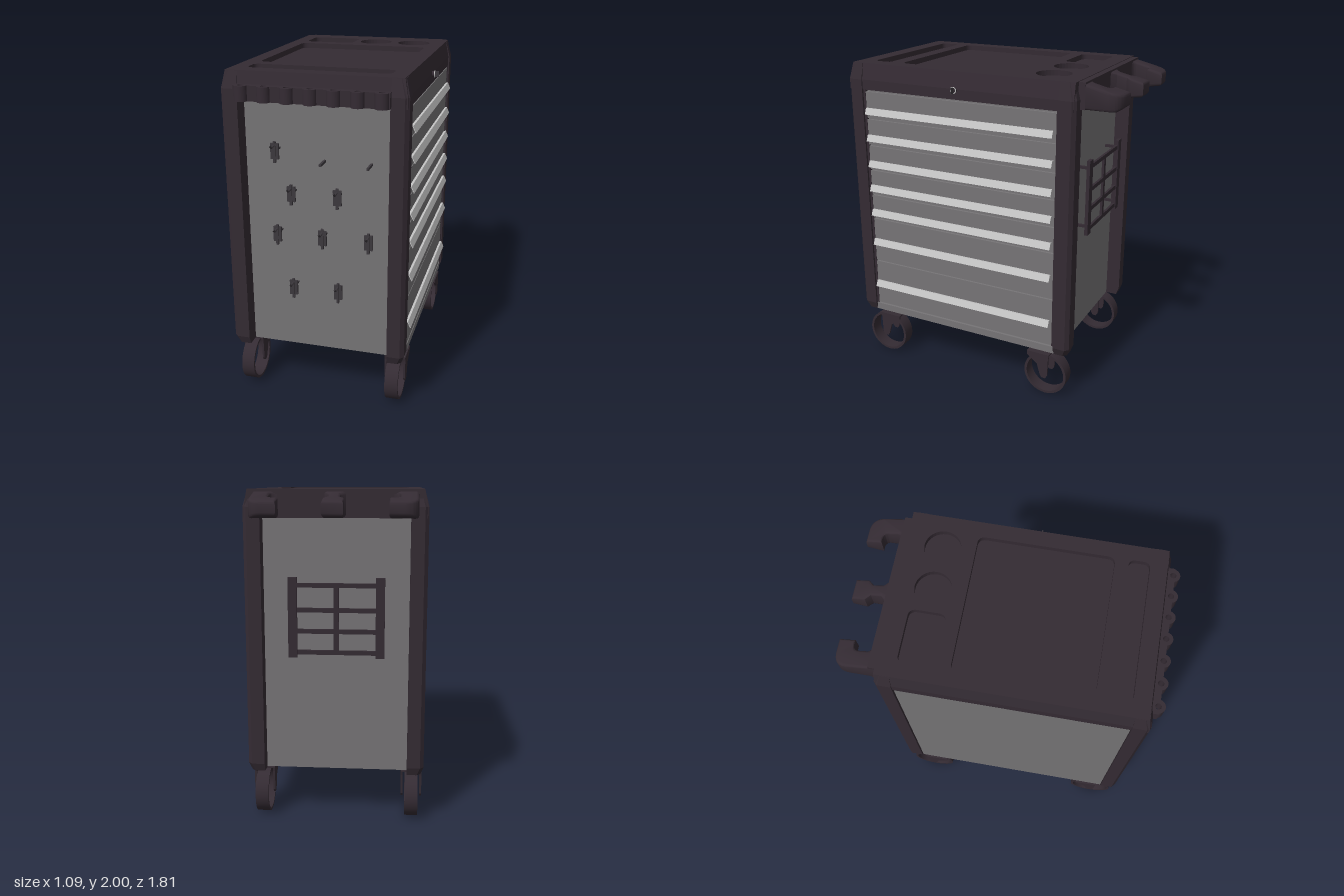
import * as THREE from 'three';
import { toCreasedNormals } from 'three/addons/utils/BufferGeometryUtils.js';

const mat = (name, color) => Object.assign(new THREE.MeshStandardMaterial({ color }), { name });
const dark = mat('dark plastic', 0x342b33);
const grey = mat('grey steel', 0x767476);
const silver = mat('silver trim', 0xc4c4c4);
const metal = mat('dark metal', 0x3c383d);

const CX = -0.02; // cabinet centre line
const FRONT = 0.745, BACK = -0.58; // recessed end panels

export function createModel() {
  const model = new THREE.Group();
  model.name = 'toolCart';

  const add = (name, geo, material, parent = model) => {
    const m = new THREE.Mesh(geo, material);
    m.name = name;
    parent.add(m);
    return m;
  };
  // box given by its limits
  const box = (name, x0, x1, y0, y1, z0, z1, material, parent) => {
    const g = new THREE.BoxGeometry(x1 - x0, y1 - y0, z1 - z0);
    g.translate((x0 + x1) / 2, (y0 + y1) / 2, (z0 + z1) / 2);
    return add(name, g, material, parent);
  };
  // extrude a plan shape (x, z) upward from y0 to y1, optionally with rounded edges
  const upright = (shape, y0, y1, steps = 1, round = 0) => {
    const g = new THREE.ExtrudeGeometry(shape, {
      depth: y1 - y0 - 2 * round, steps, curveSegments: 16, bevelEnabled: round > 0,
      bevelSize: round, bevelThickness: round, bevelOffset: -round, bevelSegments: 3,
    });
    return g.rotateX(Math.PI / 2).translate(0, y1 - round, 0);
  };
  // move vertices by a rule and refresh the facet normals
  const warp = (g, rule) => {
    const p = g.attributes.position, v = new THREE.Vector3();
    for (let i = 0; i < p.count; i++) {
      rule(v.fromBufferAttribute(p, i));
      p.setXYZ(i, v.x, v.y, v.z);
    }
    g.computeVertexNormals();
    return g;
  };
  const poly = pts => new THREE.Shape(pts.map(p => new THREE.Vector2(p[0], p[1])));
  const roundRect = (path, x0, x1, z0, z1, r) => {
    path.moveTo(x0 + r, z0);
    path.lineTo(x1 - r, z0).quadraticCurveTo(x1, z0, x1, z0 + r);
    path.lineTo(x1, z1 - r).quadraticCurveTo(x1, z1, x1 - r, z1);
    path.lineTo(x0 + r, z1).quadraticCurveTo(x0, z1, x0, z1 - r);
    path.lineTo(x0, z0 + r).quadraticCurveTo(x0, z0, x0 + r, z0);
    return path;
  };

  // cabinet body with end panels set back between the posts
  box('cabinetBody', -0.535, 0.48, 0.312, 1.86, BACK, FRONT, grey);
  box('drawerSill', 0.48, 0.498, 0.315, 0.36, -0.575, 0.745, grey);
  for (const z of [-0.568, 0.733]) box('drawerFrame', 0.48, 0.499, 0.365, 1.84, z - 0.008, z + 0.008, dark);

  // corner posts: chamfered outer edge, tapered at foot and head
  const levels = [0.31, 0.36, 1.9, 1.997];
  const insets = [0.018, 0, 0, 0.025];
  for (const sx of [-1, 1]) for (const sz of [-1, 1]) {
    const X = CX + sx * 0.53, Z = 0.085 + sz * 0.757, c = 0.022, w = 0.1;
    const outline = poly([[X - sx * w, Z - sz * w], [X, Z - sz * w], [X, Z - sz * c], [X - sx * c, Z], [X - sx * w, Z]]);
    const g = warp(upright(outline, 0, 3, 3), v => {
      const k = Math.round(v.y);
      if (Math.abs(v.x - X) < 0.05) v.x -= sx * insets[k];
      if (Math.abs(v.z - Z) < 0.05) v.z -= sz * insets[k];
      v.y = levels[k];
    });
    add('cornerPost', g, dark);
  }

  // worktop with sunken trays
  const lid = poly([[-0.543, -0.66], [0.502, -0.66], [0.502, 0.835], [-0.543, 0.835]]);
  for (const [x0, x1, z0, z1, r] of [[-0.436, 0.389, -0.262, 0.52, 0.045], [-0.436, 0.389, 0.597, 0.718, 0.04], [-0.436, -0.118, -0.553, -0.343, 0.045]])
    lid.holes.push(roundRect(new THREE.Path(), x0, x1, z0, z1, r));
  for (const x of [0.023, 0.283]) lid.holes.push(new THREE.Path().absarc(x, -0.448, 0.105, 0, Math.PI * 2, true));
  add('worktop', warp(upright(lid, 1.9, 2), v => {
    if (v.y < 1.95) return;
    if (Math.abs(v.x - CX) > 0.5) v.x -= Math.sign(v.x - CX) * 0.02;
    if (v.z > 0.8) v.z -= 0.02;
  }), dark);
  box('worktopRim', -0.543, 0.502, 1.838, 1.9, -0.66, 0.835, dark);
  box('trayFloor', -0.46, 0.405, 1.9, 1.968, -0.58, 0.74, dark);

  // rear handles and centre hook, rounded and sloping down toward the back
  const rear = (name, shape) => add(name, toCreasedNormals(warp(upright(shape, 1.845, 2, 1, 0.014), v => {
    if (v.y > 1.92) v.y -= Math.max(0, -0.64 - v.z) * 0.24;
    else v.y += Math.max(0, -0.87 - v.z) * 0.5;
  }), 0.6), dark);
  box('rearRail', -0.49, 0.44, 1.845, 1.997, -0.7, -0.6, dark);
  for (const s of [-1, 1]) {
    const u = x => -0.025 + s * x;
    const h = new THREE.Shape();
    h.moveTo(u(0.465), -0.64);
    h.lineTo(u(0.465), -0.82).quadraticCurveTo(u(0.465), -0.905, u(0.38), -0.905);
    h.lineTo(u(0.305), -0.905).lineTo(u(0.305), -0.81).lineTo(u(0.33), -0.81);
    h.quadraticCurveTo(u(0.365), -0.81, u(0.365), -0.775);
    h.lineTo(u(0.365), -0.725).quadraticCurveTo(u(0.36), -0.7, u(0.33), -0.7);
    h.lineTo(u(0.33), -0.64);
    rear('rearHandle', h);
  }
  rear('centreHook', poly([[-0.09, -0.64], [-0.085, -0.7], [-0.058, -0.73], [-0.058, -0.79], [-0.085, -0.82], [-0.085, -0.9],
    [0.035, -0.9], [0.035, -0.82], [0.008, -0.79], [0.008, -0.73], [0.035, -0.7], [0.04, -0.64]]));

  // front tool holder: scalloped bar with seven holes
  const holeX = [...Array(7)].map((_, i) => -0.415 + i * 0.131);
  const bar = new THREE.Shape();
  bar.moveTo(-0.46, 0.82);
  bar.lineTo(-0.46, 0.87);
  for (const x of holeX) bar.absarc(x, 0.861, 0.039, Math.PI - 0.233, 0.233, true);
  bar.lineTo(0.415, 0.87).lineTo(0.415, 0.82);
  for (const x of holeX) bar.holes.push(new THREE.Path().absarc(x, 0.861, 0.017, 0, Math.PI * 2, false));
  add('toolHolder', upright(bar, 1.842, 1.928), dark);

  // drawers [bottom, top, handle height]
  const lip = poly([[0.49, 0.012], [0.508, 0.016], [0.524, -0.018], [0.528, -0.018], [0.511, 0.021], [0.49, 0.019]]);
  const drawers = [[1.66, 1.825, 1.705], [1.486, 1.65, 1.533], [1.323, 1.478, 1.363], [1.155, 1.315, 1.2],
    [0.99, 1.147, 1.033], [0.686, 0.982, 0.825], [0.37, 0.678, 0.52]];
  for (const [y0, y1, h] of drawers) {
    box('drawerFront', 0.475, 0.497, y0, y1, -0.56, 0.725, grey);
    const g = new THREE.ExtrudeGeometry(lip, { depth: 1.265, bevelEnabled: false });
    add('drawerHandle', g.translate(0, h, -0.545), silver);
  }

  // lock with a slim ring and key
  const lock = new THREE.CylinderGeometry(0.017, 0.017, 0.022, 24).rotateZ(Math.PI / 2);
  add('lock', lock.translate(0.505, 1.895, 0.085), dark);
  const ring = new THREE.TorusGeometry(0.018, 0.003, 8, 24).rotateY(Math.PI / 2);
  add('lockRing', ring.translate(0.517, 1.895, 0.085), silver);
  box('key', 0.515, 0.542, 1.877, 1.913, 0.082, 0.088, metal);

  // pegboard hooks standing off the front panel
  const spots = [[-0.25, 1.555], [-0.16, 1.31], [0.11, 1.31], [-0.25, 1.06], [0.02, 1.06], [0.29, 1.06], [-0.16, 0.73], [0.11, 0.73]];
  const arm = new THREE.CurvePath();
  const bend = [[0, 0.04], [0.058, 0.036], [0.078, 0.055]].map(([z, y]) => new THREE.Vector3(0, y, z));
  arm.add(new THREE.LineCurve3(bend[0], bend[1]));
  arm.add(new THREE.LineCurve3(bend[1], bend[2]));
  for (const [x, y] of spots) {
    const hook = new THREE.Group();
    hook.name = 'pegHook';
    hook.position.set(x + 0.004, y, 0.82);
    box('hookPlate', -0.024, 0.024, -0.04, 0.05, 0, 0.012, metal, hook);
    box('hookTab', -0.007, 0.007, -0.06, 0.062, 0.002, 0.018, metal, hook);
    box('hookPeg', -0.005, 0.005, 0, 0.01, FRONT - 0.82, 0.002, metal, hook);
    add('hookArm', new THREE.TubeGeometry(arm, 12, 0.006, 8), metal, hook);
    model.add(hook);
  }
  for (const x of [0.02, 0.29]) box('pin', x - 0.006, x + 0.006, 1.493, 1.507, FRONT, 0.84, metal);

  // rear rack: two uprights on standoffs and a two by three grid
  const RX = -0.027;
  for (const s of [-1, 1]) {
    const x = RX + s * 0.255;
    box('rackUpright', x - 0.026, x + 0.026, 1.03, 1.5, -0.676, -0.655, dark);
    for (const y of [1.08, 1.45]) box('rackStandoff', x - 0.008, x + 0.008, y - 0.008, y + 0.008, -0.655, BACK, dark);
  }
  for (const y of [1.06, 1.185, 1.31, 1.455]) box('rackRail', RX - 0.25, RX + 0.25, y - 0.013, y + 0.013, -0.67, -0.655, dark);
  box('rackDivider', RX - 0.015, RX + 0.015, 1.06, 1.455, -0.67, -0.655, dark);

  // casters: hollow wheel between two fork plates
  const rim = [[0.126, -0.04], [0.142, -0.04], [0.142, 0.04], [0.126, 0.04], [0.126, -0.04]].map(a => new THREE.Vector2(...a));
  const wheelGeo = toCreasedNormals(new THREE.LatheGeometry(rim, 48).rotateZ(Math.PI / 2), 0.6);
  for (const sx of [-1, 1]) for (const sz of [-1, 1]) {
    const caster = new THREE.Group();
    caster.name = 'caster';
    caster.position.set(-0.022 + sx * 0.457, 0.142, 0.085 + sz * 0.595);
    add('wheel', wheelGeo, dark, caster);
    const fork = poly([[0.035, 0.148], [-0.115, 0.148], [-0.115, 0.125], [-0.045, 0.07], [-0.025, 0], [-0.012, -0.02],
      [0.012, -0.02], [0.025, 0], [0.03, 0.12]].map(([z, y]) => [-z * sz, y]));
    for (const s of [-1, 1]) {
      const g = new THREE.ExtrudeGeometry(fork, { depth: 0.012, bevelEnabled: false }).rotateY(Math.PI / 2);
      add('forkPlate', g.translate(s * 0.058 - 0.006, 0, 0), dark, caster);
    }
    const a = sz * 0.035, b = -sz * 0.115;
    box('forkCrown', -0.064, 0.064, 0.142, 0.15, Math.min(a, b), Math.max(a, b), dark, caster);
    model.add(caster);
  }
  return model;
}
